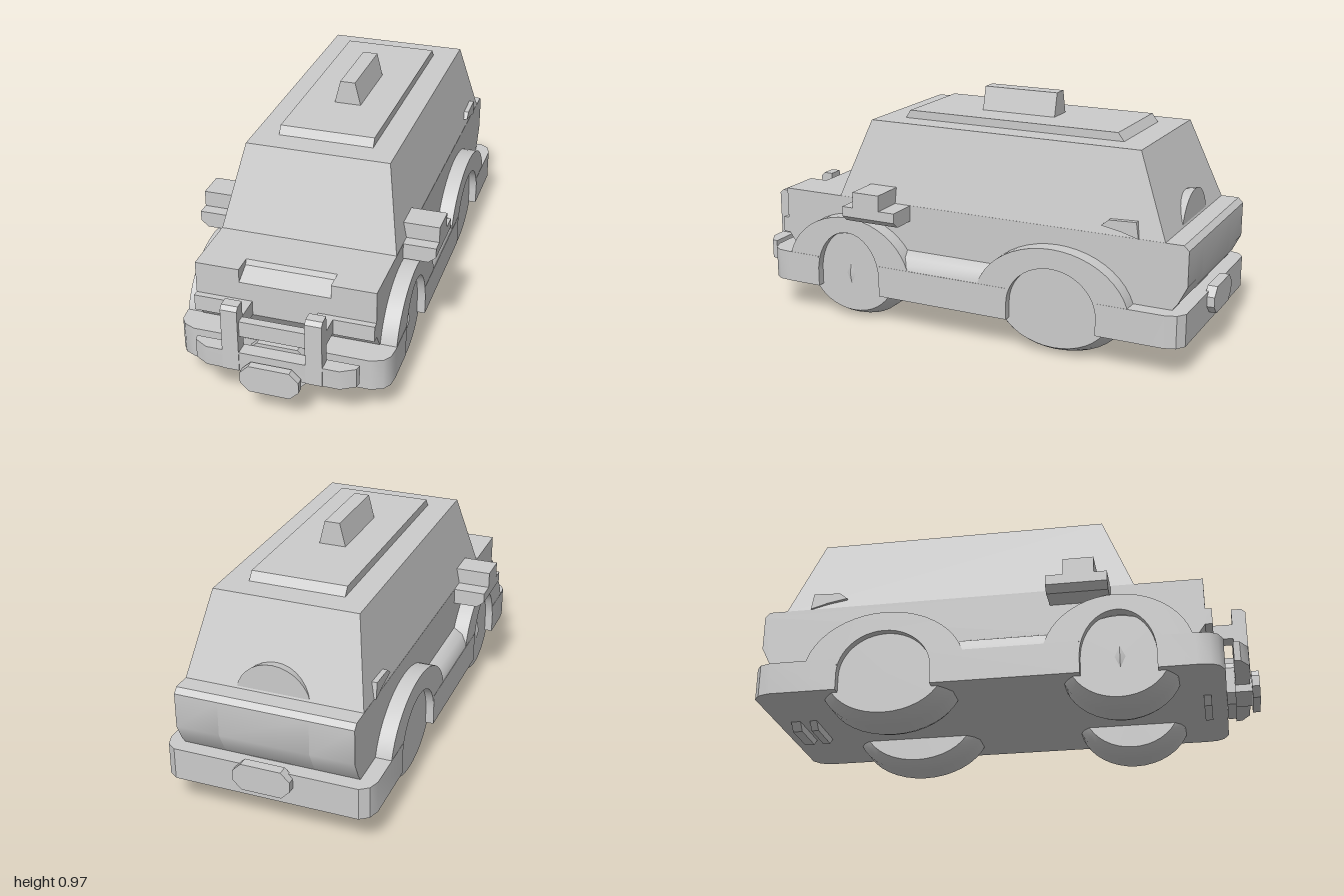
import * as THREE from 'three';
import { toCreasedNormals } from 'three/addons/utils/BufferGeometryUtils.js';

const material = new THREE.MeshStandardMaterial({ color: 0xcccccc });

export function createModel() {
  const model = new THREE.Group();

  function add(name, geometry) {
    const mesh = new THREE.Mesh(toCreasedNormals(geometry, 0.6), material);
    mesh.name = name;
    model.add(mesh);
    return mesh;
  }
  const extrude = (points, depth) => new THREE.ExtrudeGeometry(
    new THREE.Shape(points.map(([a, b]) => new THREE.Vector2(a, b))),
    { depth, bevelEnabled: false });

  // Profile of [z, y] points, extruded from x0 to x1
  const sideways = (points, x0, x1) =>
    extrude(points, x1 - x0).rotateY(-Math.PI / 2).translate(x1, 0, 0);
  // Plan of [x, z] points, extruded from y0 to y1
  const upright = (points, y0, y1) =>
    extrude(points, y1 - y0).rotateX(Math.PI / 2).translate(0, y1, 0);
  // Outline of [x, y] points, extruded from z0 to z1
  const lengthwise = (points, z0, z1) => extrude(points, z1 - z0).translate(0, 0, z0);

  const box = (x0, x1, y0, y1, z0, z1) =>
    new THREE.BoxGeometry(x1 - x0, y1 - y0, z1 - z0)
      .translate((x0 + x1) / 2, (y0 + y1) / 2, (z0 + z1) / 2);

  // Box with different extents at the bottom and top: [half width, z back, z front]
  function frustum(y0, y1, bottom, top) {
    const g = new THREE.BoxGeometry(2, 2, 2);
    const p = g.attributes.position;
    for (let i = 0; i < p.count; i++) {
      const up = p.getY(i) > 0;
      const [w, back, front] = up ? top : bottom;
      p.setXYZ(i, p.getX(i) * w, up ? y1 : y0, p.getZ(i) > 0 ? front : back);
    }
    return g;
  }

  // Points over the top half of an ellipse, from high to low z
  function arc(cz, cy, rz, ry, n = 24) {
    return Array.from({ length: n + 1 }, (_, i) => {
      const a = Math.PI * i / n;
      return [cz + rz * Math.cos(a), cy + ry * Math.sin(a)];
    });
  }

  // Lower body with undercut nose and tail, notched in the middle of the hood
  const tail = [[-0.9, 0.25], [-0.93, 0.29], [-0.965, 0.36], [-0.965, 0.5], [-0.945, 0.52]];
  const nose = [[0.81, 0.33], [0.76, 0.26], [0.76, 0.25]];
  const bodySide = [...tail, [0.81, 0.52], ...nose];
  const bodyMiddle = [...tail, [0.73, 0.52], [0.74, 0.5], [0.81, 0.465], ...nose];
  add('bodyMiddle', sideways(bodyMiddle, -0.18, 0.18));
  add('bodyLeft', sideways(bodySide, 0.18, 0.355));
  add('bodyRight', sideways(bodySide, -0.355, -0.18));

  // Cabin, roof panel and roof light
  add('cabin', frustum(0.515, 0.842, [0.355, -0.875, 0.545], [0.29, -0.745, 0.42]));
  add('roofPanel', frustum(0.835, 0.875, [0.192, -0.645, 0.32], [0.192, -0.615, 0.295]));
  add('roofLight', frustum(0.87, 0.97, [0.056, -0.29, 0.03], [0.031, -0.29, 0.03]));

  // Spare wheel on the tailgate
  add('spareWheel', new THREE.CylinderGeometry(0.13, 0.15, 0.1, 32)
    .rotateX(Math.PI / 2).translate(0, 0.49, -0.82));

  // Chassis plan with rounded ends and cut-outs at the wheel openings
  const axles = [
    { name: 'front', z: 0.475, open: 0.147, top: 0.385, arch: 0.292, tyre: 0.235 },
    { name: 'rear', z: -0.44, open: 0.188, top: 0.37, arch: 0.325, tyre: 0.28 },
  ];
  const half = [[0.35, 0.87], [0.395, 0.85], [0.415, 0.82], [0.42, 0.77]];
  for (const { z, open } of axles) {
    half.push([0.42, z + open], [0.36, z + open], [0.36, z - open], [0.42, z - open]);
  }
  half.push([0.42, -0.9], [0.405, -0.945], [0.37, -0.97]);
  const chassis = [...half, ...half.map(([x, z]) => [-x, z]).reverse()];
  add('chassis', upright(chassis, 0.132, 0.262));

  // Wheel profile as [radius, x]
  const tyreProfile = [[0, 0.165], [0.168, 0.165], [0.188, 0.19], [0.2, 0.225],
    [0.2, 0.32], [0.186, 0.355], [0.168, 0.387], [0, 0.387]];

  for (const s of [1, -1]) {
    const side = s > 0 ? 'left' : 'right';
    const span = (x0, x1) => (s > 0 ? [x0, x1] : [-x1, -x0]);

    for (const { name, z, open, top, arch, tyre } of axles) {
      // Wheel arch
      const rim = [[z + arch, 0.14], ...arc(z, 0.2, arch, 0.25), [z - arch, 0.14],
        [z - open, 0.14], ...arc(z, 0.2, open, top - 0.2).reverse(), [z + open, 0.14]];
      add(`${side}${name}WheelArch`, sideways(rim, ...span(0.33, 0.419)));

      // Wheel
      const profile = tyreProfile.map(([r, x]) => new THREE.Vector2(r, x));
      add(`${side}${name}Wheel`, new THREE.LatheGeometry(profile, 40)
        .rotateZ(-s * Math.PI / 2).scale(1, 1, tyre / 0.2).translate(0, 0.205, z));
    }

    // Pointed boss in the front hub
    add(`${side}HubBoss`, new THREE.OctahedronGeometry(1)
      .scale(0.012, 0.055, 0.025).translate(s * 0.385, 0.2, 0.48));

    // Sloping sill between the arches
    const sill = [[0.33, 0.25], [0.42, 0.25], [0.415, 0.28], [0.395, 0.31], [0.35, 0.332], [0.33, 0.332]];
    add(`${side}Sill`, lengthwise(sill.map(([x, y]) => [s * x, y]), -0.2, 0.25));

    // Side mirror with chamfered lower edge
    const base = [[0.33, 0.455], [0.455, 0.455], [0.485, 0.48], [0.485, 0.52], [0.33, 0.52]];
    add(`${side}MirrorBase`, lengthwise(base.map(([x, y]) => [s * x, y]), 0.21, 0.45));
    add(`${side}MirrorTop`, box(...span(0.33, 0.485), 0.515, 0.585, 0.28, 0.4));

    // Small air scoop behind the cabin side
    const scoop = [[-0.62, 0.555], [-0.65, 0.58], [-0.76, 0.585], [-0.77, 0.52], [-0.7, 0.54]];
    add(`${side}AirScoop`, sideways(scoop, ...span(0.31, 0.362)));

    // Lamp strip and bull bar upright with its stay
    add(`${side}LampStrip`, box(...span(0.195, 0.355), 0.325, 0.39, 0.79, 0.835));
    add(`${side}BullBarUpright`, sideways(
      [[0.91, 0.18], [0.965, 0.18], [0.965, 0.44], [0.95, 0.455], [0.91, 0.455]],
      ...span(0.13, 0.195)));
    add(`${side}BullBarStay`, box(...span(0.13, 0.195), 0.33, 0.39, 0.8, 0.92));
  }

  // Bull bar cross pieces
  const lowerBar = [[0.32, 0.905], [0.315, 0.93], [0.26, 0.962]];
  add('bullBarLower', upright(
    [...lowerBar, ...lowerBar.map(([x, z]) => [-x, z]).reverse()], 0.18, 0.26));
  add('bullBarUpper', box(-0.14, 0.14, 0.325, 0.39, 0.915, 0.95));

  // Octagonal coupling plates: [bottom, top, z back, z front]
  const plates = [
    [0.122, 0.235, 0.97, 1], [0.1, 0.275, 0.87, 0.905], [0.1, 0.2, 0.78, 0.81],
    [0.17, 0.28, -1, -0.96], [0.1, 0.27, -0.91, -0.87], [0.1, 0.2, -0.83, -0.8],
  ];
  for (const [y0, y1, z0, z1] of plates) {
    const c = 0.035;
    add('couplingPlate', lengthwise([
      [-0.115 + c, y0], [0.115 - c, y0], [0.115, y0 + c], [0.115, y1 - c],
      [0.115 - c, y1], [-0.115 + c, y1], [-0.115, y1 - c], [-0.115, y0 + c]], z0, z1));
  }
  add('couplingStem', box(-0.08, 0.08, 0.15, 0.22, 0.85, 0.98));

  return model;
}
